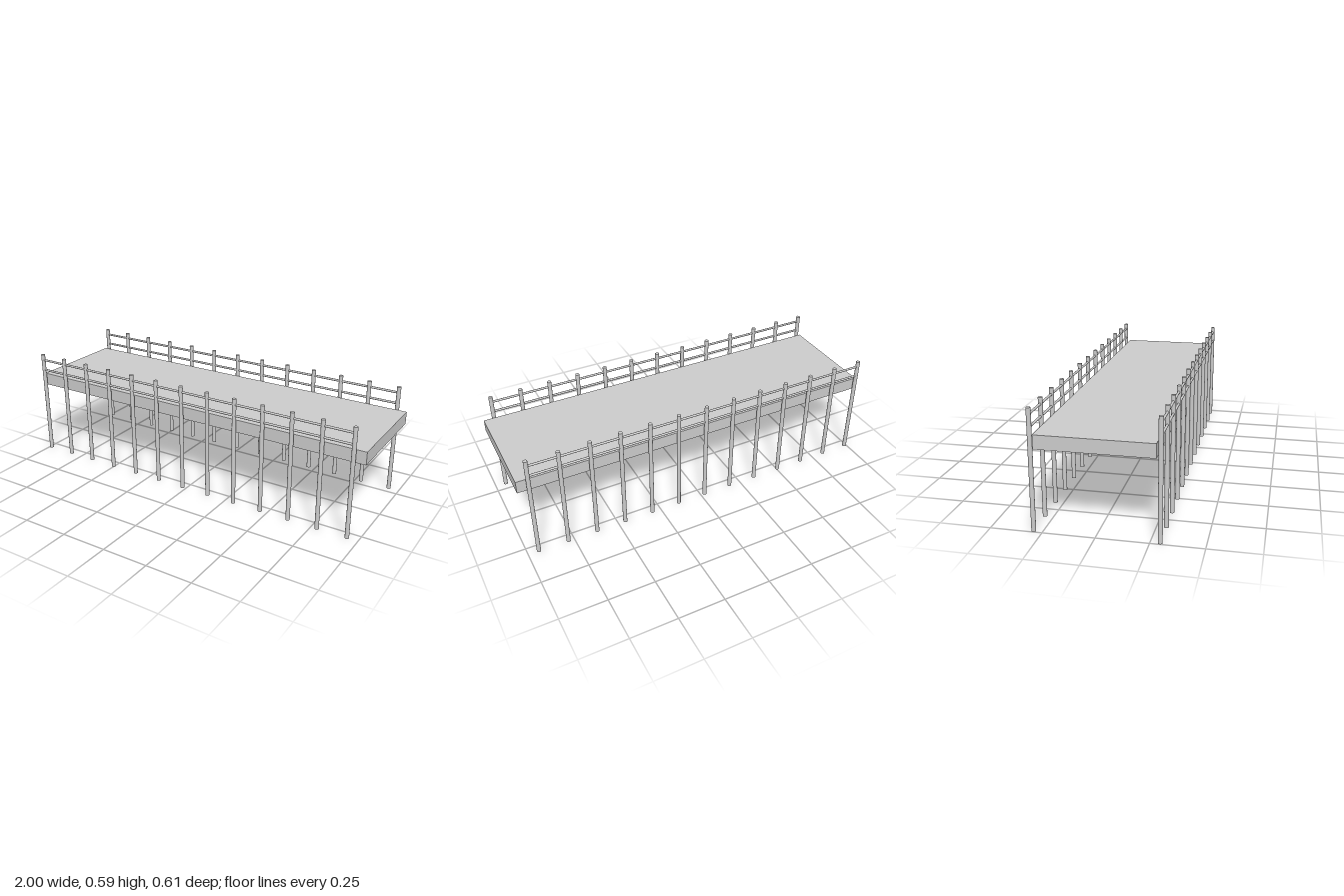
import * as THREE from 'three';

const material = new THREE.MeshStandardMaterial({ color: 0xcccccc });

function addMesh(parent, geometry, name, x, y, z) {
  const mesh = new THREE.Mesh(geometry, material);
  mesh.name = name;
  mesh.position.set(x, y, z);
  parent.add(mesh);
  return mesh;
}

export function createModel() {
  const pier = new THREE.Group();
  pier.name = 'pier';

  // Solid walkway slab
  addMesh(pier, new THREE.BoxGeometry(2, 0.068, 0.556), 'deck', 0, 0.438, 0.001);

  const postCount = 13;
  const firstX = -0.988;
  const lastX = 0.942;
  const postHeight = 0.594;
  const postGeometry = new THREE.CylinderGeometry(0.011, 0.011, postHeight, 16);
  const railGeometry = new THREE.CylinderGeometry(0.006, 0.006, lastX - firstX, 12).rotateZ(Math.PI / 2);

  // A row of piles with two handrails along each long side
  for (const [side, z] of [['front', 0.296], ['back', -0.293]]) {
    const row = new THREE.Group();
    row.name = side + 'Railing';
    pier.add(row);
    for (let i = 0; i < postCount; i++) {
      const x = THREE.MathUtils.lerp(firstX, lastX, i / (postCount - 1));
      addMesh(row, postGeometry, 'post', x, postHeight / 2, z);
    }
    addMesh(row, railGeometry, 'upperRail', (firstX + lastX) / 2, 0.562, z);
    addMesh(row, railGeometry, 'lowerRail', (firstX + lastX) / 2, 0.502, z);
  }
  return pier;
}
